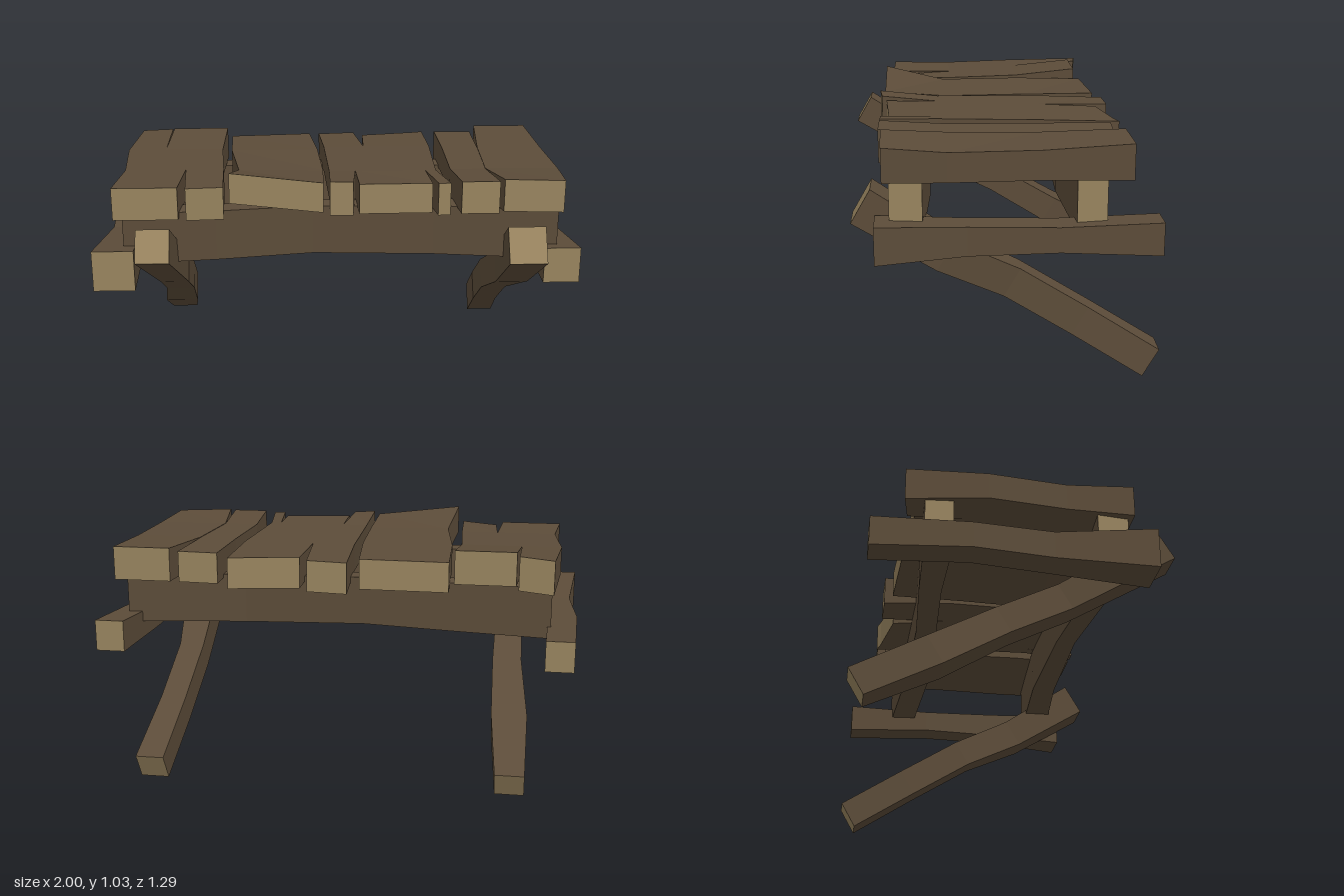
import * as THREE from 'three';

const bark = new THREE.MeshStandardMaterial({ color: 0x5c4c39 });
bark.name = 'brown wood';
const cut = new THREE.MeshStandardMaterial({ color: 0x98845f });
cut.name = 'pale end grain';

// Beam through four-cornered rings (bottom left, bottom right, top right, top left
// as seen from the start end); pale wood on both ends.
function beam(name, rings) {
  const pos = [];
  const quad = (a, b, c, d) => pos.push(...a, ...b, ...c, ...a, ...c, ...d);
  for (let i = 0; i < rings.length - 1; i++) {
    const p = rings[i], q = rings[i + 1];
    for (let j = 0; j < 4; j++) {
      const k = (j + 1) % 4;
      quad(p[j], q[j], q[k], p[k]);
    }
  }
  const sideCount = pos.length / 3;
  const [a, b, c, d] = rings[0];
  quad(a, b, c, d);
  const [e, f, g, h] = rings[rings.length - 1];
  quad(h, g, f, e);
  const geo = new THREE.BufferGeometry();
  geo.setAttribute('position', new THREE.Float32BufferAttribute(pos, 3));
  geo.computeVertexNormals();
  geo.addGroup(0, sideCount, 0);
  geo.addGroup(sideCount, 12, 1);
  const mesh = new THREE.Mesh(geo, [bark, cut]);
  mesh.name = name;
  return mesh;
}

// Board running front to back; rows: left x, z, top y, right x, z, top y, thickness
const board = (name, rows) => beam(name, rows.map(([xl, zl, yl, xr, zr, yr, t]) => [
  [xl, yl - t, zl], [xr, yr - t, zr], [xr, yr, zr], [xl, yl, zl],
]));

// Rail running from +x to -x; rows: x, front z, back z, bottom y, top y
const rail = (name, rows) => beam(name, rows.map(([x, zf, zb, y0, y1]) => [
  [x, y0, zf], [x, y0, zb], [x, y1, zb], [x, y1, zf],
]));

// Slanted leg; rows: left x, right x, centre z, centre y, half thickness
const leg = (name, rows) => beam(name, rows.map(([x0, x1, z, y, h]) => {
  const nz = -0.5 * h, ny = 0.866 * h;
  return [[x0, y - ny, z - nz], [x1, y - ny, z - nz], [x1, y + ny, z + nz], [x0, y + ny, z + nz]];
}));

export function createModel() {
  const model = new THREE.Group();
  model.name = 'woodenTable';

  // Seat planks, split in strips where the cracks run
  const top = new THREE.Group();
  top.name = 'planks';
  top.add(
    board('plankOneLeft', [
      [-0.915, 0.46, 0.965, -0.65, 0.46, 0.965, 0.135],
      [-0.89, 0.19, 0.965, -0.635, 0.19, 0.965, 0.115],
      [-0.915, -0.13, 0.97, -0.75, -0.13, 0.97, 0.115],
      [-0.885, -0.46, 0.98, -0.745, -0.44, 0.99, 0.14],
    ]),
    board('plankOneRight', [
      [-0.62, 0.44, 0.955, -0.465, 0.46, 0.965, 0.135],
      [-0.635, 0.19, 0.965, -0.475, 0.19, 0.965, 0.115],
      [-0.75, -0.13, 0.97, -0.495, -0.13, 0.97, 0.115],
      [-0.735, -0.41, 1.0, -0.485, -0.41, 1.0, 0.14],
    ]),
    board('plankTwo', [
      [-0.44, 0.485, 1.03, -0.06, 0.48, 0.985, 0.125],
      [-0.41, 0.22, 0.97, -0.055, 0.22, 0.965, 0.115],
      [-0.455, -0.13, 0.965, -0.07, -0.13, 0.965, 0.115],
      [-0.465, -0.435, 0.955, -0.1, -0.45, 0.96, 0.125],
    ]),
    board('plankThreeLeft', [
      [-0.035, 0.5, 0.995, 0.06, 0.49, 0.99, 0.14],
      [-0.03, 0.25, 0.97, 0.08, 0.25, 0.97, 0.12],
      [-0.04, -0.18, 0.965, 0.14, -0.18, 0.965, 0.115],
      [-0.055, -0.485, 0.95, 0.11, -0.485, 0.955, 0.13],
    ]),
    board('plankThreeMiddle', [
      [0.085, 0.47, 0.975, 0.385, 0.45, 0.97, 0.125],
      [0.08, 0.25, 0.97, 0.375, 0.25, 0.97, 0.12],
      [0.14, -0.18, 0.965, 0.38, -0.18, 0.965, 0.115],
      [0.15, -0.43, 0.955, 0.39, -0.475, 0.955, 0.13],
    ]),
    board('plankThreeRight', [
      [0.405, 0.485, 0.98, 0.455, 0.485, 0.98, 0.135],
      [0.375, 0.25, 0.97, 0.42, 0.25, 0.97, 0.12],
      [0.38, -0.18, 0.965, 0.44, -0.18, 0.965, 0.115],
      [0.39, -0.475, 0.955, 0.44, -0.49, 0.955, 0.13],
    ]),
    board('plankFourLeft', [
      [0.5, 0.485, 0.985, 0.655, 0.485, 0.985, 0.135],
      [0.485, 0.22, 0.965, 0.635, 0.22, 0.965, 0.115],
      [0.495, -0.13, 0.965, 0.655, -0.13, 0.965, 0.115],
      [0.495, -0.445, 0.965, 0.665, -0.435, 0.965, 0.13],
    ]),
    board('plankFourRight', [
      [0.675, 0.475, 0.99, 0.925, 0.465, 0.98, 0.135],
      [0.635, 0.22, 0.967, 0.945, 0.22, 0.965, 0.115],
      [0.655, -0.13, 0.967, 0.94, -0.13, 0.968, 0.115],
      [0.69, -0.475, 0.985, 0.93, -0.475, 0.985, 0.14],
    ]),
  );

  // Cross rails under the planks
  const rails = new THREE.Group();
  rails.name = 'crossRails';
  rails.add(
    rail('frontRail', [
      [0.91, 0.44, 0.315, 0.635, 0.855],
      [0.4, 0.39, 0.285, 0.645, 0.855],
      [-0.1, 0.385, 0.3, 0.655, 0.86],
      [-0.5, 0.425, 0.33, 0.645, 0.855],
      [-0.88, 0.44, 0.315, 0.635, 0.85],
    ]),
    rail('backRail', [
      [0.91, -0.265, -0.38, 0.64, 0.855],
      [0.4, -0.235, -0.345, 0.65, 0.855],
      [-0.1, -0.25, -0.34, 0.66, 0.86],
      [-0.5, -0.27, -0.365, 0.65, 0.855],
      [-0.88, -0.265, -0.38, 0.64, 0.85],
    ]),
  );

  // Low side beams
  const sides = new THREE.Group();
  sides.name = 'sideBeams';
  sides.add(
    board('rightSideBeam', [
      [-1.0, 0.525, 0.72, -0.83, 0.525, 0.72, 0.17],
      [-0.965, 0.12, 0.69, -0.84, 0.12, 0.69, 0.115],
      [-0.99, -0.2, 0.69, -0.87, -0.2, 0.69, 0.11],
      [-0.975, -0.595, 0.69, -0.86, -0.595, 0.69, 0.125],
    ]),
    board('leftSideBeam', [
      [0.85, 0.495, 0.7, 1.0, 0.495, 0.7, 0.15],
      [0.85, 0.15, 0.685, 0.965, 0.15, 0.685, 0.115],
      [0.84, -0.2, 0.675, 0.96, -0.2, 0.675, 0.1],
      [0.865, -0.585, 0.695, 0.985, -0.585, 0.695, 0.13],
    ]),
  );

  // Slanted legs
  const legs = new THREE.Group();
  legs.name = 'legs';
  legs.add(
    leg('rightLeg', [
      [-0.81, -0.675, 0.613, 0.77, 0.069],
      [-0.76, -0.64, 0.2, 0.525, 0.06],
      [-0.765, -0.64, -0.05, 0.4, 0.06],
      [-0.8, -0.65, -0.32, 0.235, 0.065],
      [-0.8, -0.68, -0.612, 0.083, 0.062],
    ]),
    leg('leftLeg', [
      [0.69, 0.845, 0.55, 0.733, 0.077],
      [0.695, 0.835, 0.23, 0.525, 0.068],
      [0.68, 0.79, -0.03, 0.395, 0.065],
      [0.69, 0.8, -0.3, 0.23, 0.065],
      [0.71, 0.83, -0.582, 0.056, 0.065],
    ]),
  );

  model.add(top, rails, sides, legs);
  return model;
}
